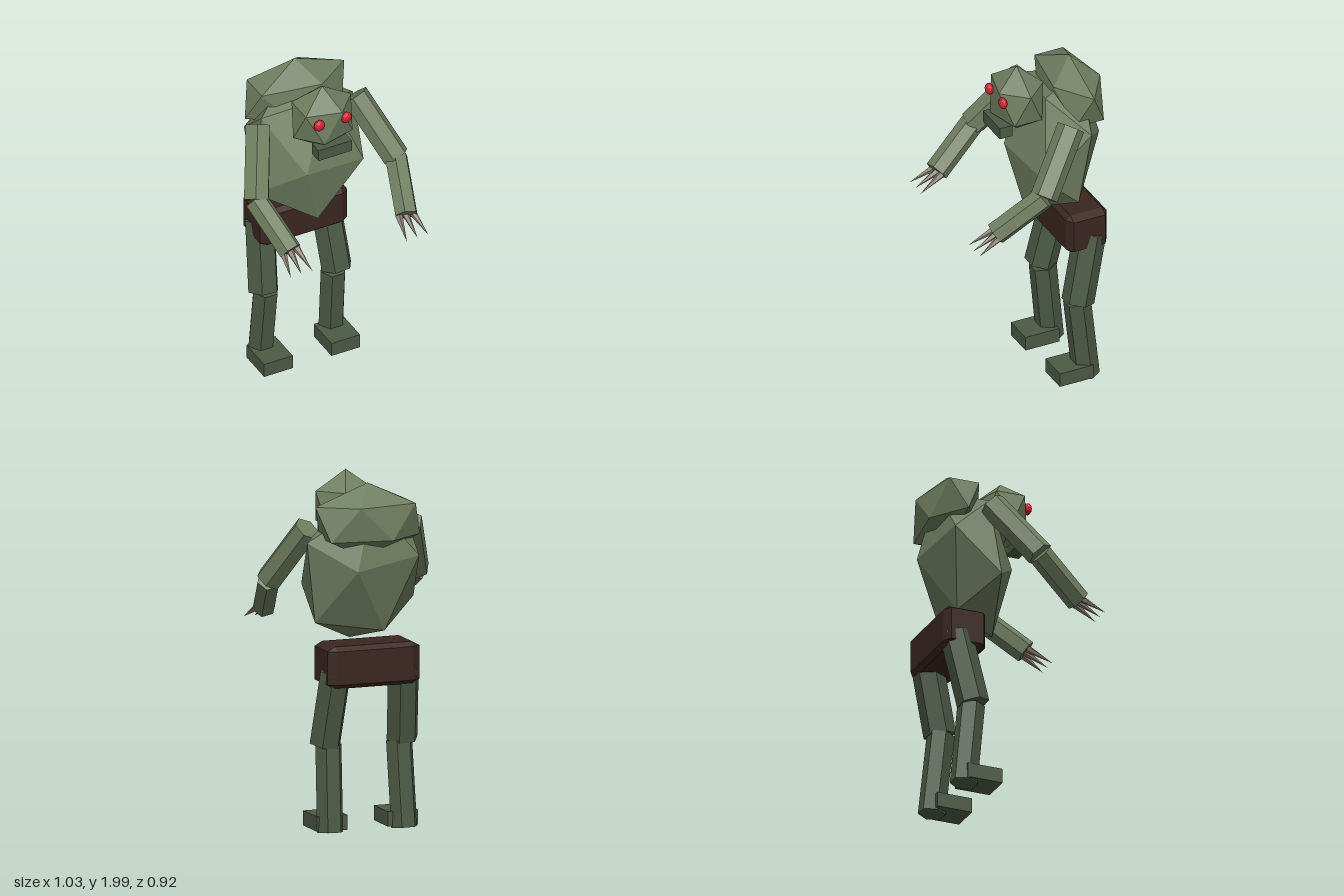
import * as THREE from 'three';
import { ConvexGeometry } from 'three/addons/geometries/ConvexGeometry.js';

const V = (x, y, z) => new THREE.Vector3(x, y, z);
const paint = (color) => new THREE.MeshStandardMaterial({ color, flatShading: true, side: THREE.DoubleSide });

export function createModel() {
  const model = new THREE.Group();
  const skin = paint(0x6f7e60), darkSkin = paint(0x4c5a45), cloth = paint(0x3a2620);
  const red = paint(0xd02535), bone = paint(0x8c8072);

  const add = (name, geometry, material, parent = model) => {
    const mesh = new THREE.Mesh(geometry, material);
    mesh.name = name;
    parent.add(mesh);
    return mesh;
  };

  // Icosahedron standing on a vertex, skewed by its three half-axes
  const lump = (name, material, centre, X, Y, Z, detail = 0) => {
    const g = new THREE.IcosahedronGeometry(1, detail);
    g.rotateZ(-Math.atan(2 / (1 + Math.sqrt(5))));
    g.applyMatrix4(new THREE.Matrix4().makeBasis(X, Y, Z).setPosition(centre));
    return add(name, g, material);
  };

  // Tapered prism running from a to b
  const limb = (name, material, a, b, rTop, rBottom, sides, parent) => {
    const axis = a.clone().sub(b);
    const g = new THREE.CylinderGeometry(rTop, rBottom, axis.length(), sides, 1, false, Math.PI / 6);
    const mesh = add(name, g, material, parent);
    mesh.quaternion.setFromUnitVectors(V(0, 1, 0), axis.normalize());
    mesh.position.addVectors(a, b).multiplyScalar(0.5);
    return mesh;
  };

  const box = (name, material, w, h, d, x, y, z, parent) => {
    const mesh = add(name, new THREE.BoxGeometry(w, h, d), material, parent);
    mesh.position.set(x, y, z);
    return mesh;
  };

  // Torso, hump and head
  lump('torso', skin, V(0, 1.469, -0.208), V(0.39, 0, 0), V(0, 0.414, -0.168), V(0, 0.18, 0.196));
  lump('hump', skin, V(0, 1.765, -0.318), V(0.35, 0, 0), V(0, 0.215, 0), V(0, 0, 0.17));
  lump('head', skin, V(0, 1.795, 0.01), V(0.203, 0, 0), V(0, 0.205, 0), V(0, 0, 0.162));
  box('jaw', darkSkin, 0.21, 0.07, 0.08, 0, 1.655, 0.127);

  // Pelvis: box with bevelled edges
  const corners = [];
  for (const x of [-1, 1]) for (const y of [-1, 1]) for (const z of [-1, 1]) {
    corners.push(
      V(0.275 * x, 0.095 * y, 0.098 * z),
      V(0.23 * x, 0.12 * y, 0.098 * z),
      V(0.23 * x, 0.095 * y, 0.126 * z));
  }
  add('pelvis', new ConvexGeometry(corners), cloth).position.set(0, 0.96, -0.308);

  for (const s of [-1, 1]) {
    const side = s > 0 ? 'left' : 'right';

    lump(side + 'Eye', red, V(0.085 * s, 1.838, 0.138), V(0.033, 0, 0), V(0, 0.035, 0), V(0, 0, 0.023), 1);

    // Arm with three claws
    const arm = new THREE.Group();
    arm.name = side + 'Arm';
    model.add(arm);
    const elbow = V(0.44 * s, 1.395, 0.06);
    limb('upperArm', skin, V(0.305 * s, 1.715, -0.175), elbow, 0.078, 0.078, 6, arm);
    limb('forearm', skin, elbow, V(0.365 * s, 1.19, 0.325), 0.068, 0.068, 6, arm);
    for (const i of [-1, 0, 1]) {
      limb('claw', bone, V(0.365 * s + 0.068 * i, 1.115, 0.46),
        V(0.365 * s + 0.043 * i, 1.19, 0.315), 0, 0.022, 5, arm);
    }

    // Leg and foot
    const leg = new THREE.Group();
    leg.name = side + 'Leg';
    model.add(leg);
    limb('thigh', darkSkin, V(0.203 * s, 0.93, -0.348), V(0.231 * s, 0.507, -0.256), 0.092, 0.092, 6, leg);
    limb('shin', darkSkin, V(0.212 * s, 0.5, -0.26), V(0.222 * s, 0.013, -0.31), 0.078, 0.078, 6, leg);
    box('foot', darkSkin, 0.18, 0.085, 0.21, 0.212 * s, 0.063, -0.213, leg);
  }
  return model;
}
